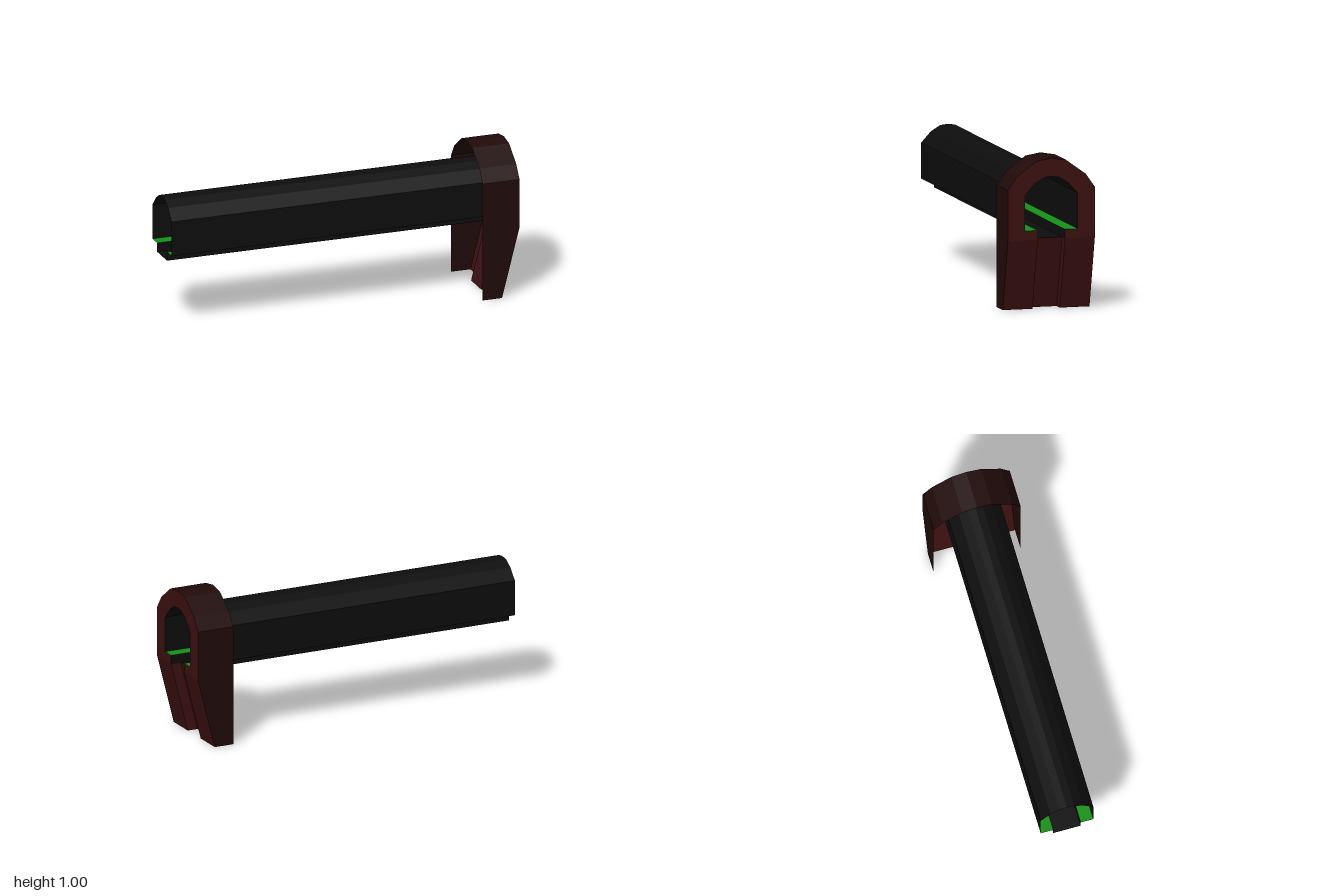
import * as THREE from 'three';

const BACK = -1.237, REAR = 0.866, FRONT = 1.121; // stations along the bar axis
const RECESS = 0.07, KEEL = 0.092, FLOOR = 0.53, BOTTOM = 0.47;

const paint = (color) => new THREE.MeshStandardMaterial({ color, side: THREE.DoubleSide, flatShading: true });

// Surface between two rows of [across, height, along] points
function loft(name, a, b, material) {
  const pos = [];
  for (let i = 0; i < a.length - 1; i++) {
    for (const [x, y, u] of [a[i], b[i], a[i + 1], a[i + 1], b[i], b[i + 1]]) pos.push(x, y, -u);
  }
  const g = new THREE.BufferGeometry();
  g.setAttribute('position', new THREE.Float32BufferAttribute(pos, 3));
  g.computeVertexNormals();
  const mesh = new THREE.Mesh(g, material);
  mesh.name = name;
  return mesh;
}

// Right half of a profile, bottom to top, mirrored into a full arch
const arch = (half) => [...half, ...half.slice(0, -1).reverse().map(([x, y]) => [-x, y])];
const at = (pts, u) => pts.map(([x, y]) => [x, y, u]);

export function createModel() {
  const model = new THREE.Group();
  const body = new THREE.Group();
  body.name = 'tunnelWithEntrance';
  body.rotation.y = -Math.PI / 4;
  model.add(body);

  const black = paint(0x0d0d0d), green = paint(0x159015);
  const darkRed = paint(0x210a0a), red = paint(0x3c1010);

  const tube = arch([[0.177, FLOOR], [0.177, 0.765], [0.11, 0.838], [0.05, 0.874], [0, 0.88]]);
  const hood = arch([[0.293, 0], [0.293, BOTTOM], [0.293, 0.8], [0.232, 0.887], [0.1, 0.983], [0, 1]]);

  // Long hollow tube, open at both ends
  body.add(loft('tubeWalls', at(tube, BACK), at(tube, FRONT), black));

  // Ledges on both sides of the floor
  for (const s of [-1, 1]) {
    const ledge = [[s * KEEL, FLOOR], [s * 0.177, FLOOR]];
    body.add(loft('floorLedge', at(ledge, BACK), at(ledge, FRONT), green));
  }

  // Sunken channel between the ledges
  const keel = [[-KEEL, FLOOR], [-KEEL, BOTTOM], [-KEEL, BOTTOM], [KEEL, BOTTOM], [KEEL, BOTTOM], [KEEL, FLOOR]];
  const ends = [FRONT, FRONT, FRONT - RECESS, FRONT - RECESS, FRONT, FRONT];
  body.add(loft('floorChannel', at(keel, BACK), keel.map(([x, y], i) => [x, y, ends[i]]), black));

  // Hood shell, open at the back and underneath; its front leans back below the floor
  const lean = (y) => FRONT - Math.max(0, BOTTOM - y) * 0.257;
  body.add(loft('hoodShell', at(hood, REAR), hood.map(([x, y]) => [x, y, lean(y)]), darkRed));

  // Front plate around the opening
  const outline = [
    ...hood.slice(1, -1),
    [-KEEL, BOTTOM], [-KEEL, FLOOR],
    ...[...tube].reverse(),
    [KEEL, FLOOR], [KEEL, BOTTOM],
  ];
  const plate = new THREE.Mesh(
    new THREE.ShapeGeometry(new THREE.Shape(outline.map(([x, y]) => new THREE.Vector2(x, y)))), red);
  plate.name = 'frontPlate';
  plate.position.z = -FRONT;
  body.add(plate);

  // Sloping apron with a recessed centre panel
  const row = (y) => [[-0.293, 0], [-KEEL, 0], [-KEEL, RECESS], [KEEL, RECESS], [KEEL, 0], [0.293, 0]]
    .map(([x, d]) => [x, y, lean(y) - d]);
  body.add(loft('frontApron', row(0), row(BOTTOM), red));

  return model;
}
